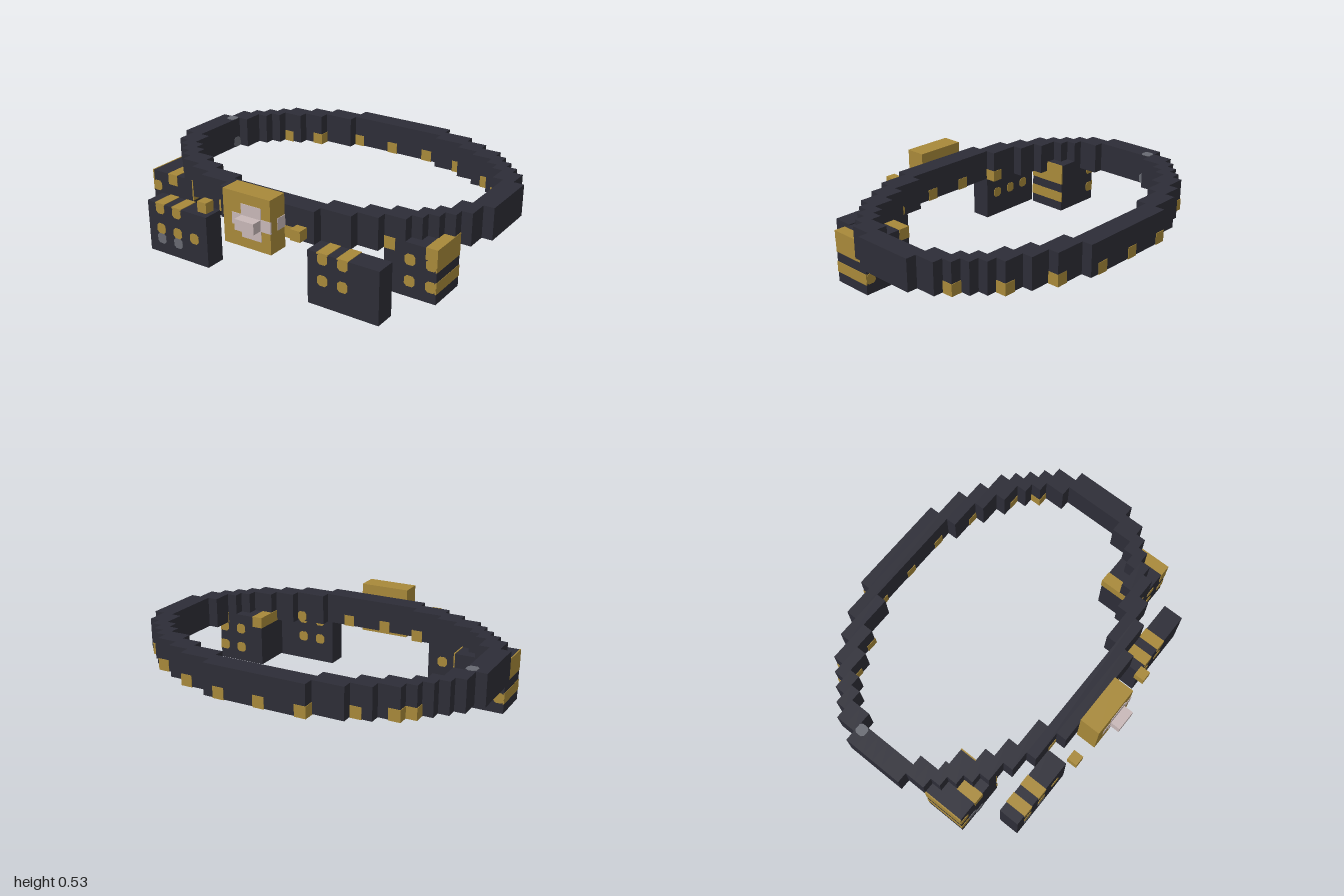
import * as THREE from 'three';

const V = 2 / 34; // one grid cell
const X = i => -1 + i * V;
const Y = j => j * V;
const Z = k => (k - 13.5) * V;

export function createModel() {
  const model = new THREE.Group();
  const mat = (name, color) => {
    const m = new THREE.MeshStandardMaterial({ color });
    m.name = name;
    return m;
  };
  const leather = mat('darkLeather', 0x2d2d37);
  const gold = mat('gold', 0xa8893a);
  const pale = mat('paleGem', 0xc8b8b8);
  const grey = mat('greyStud', 0x686a72);

  const group = (name, parent = model) => {
    const g = new THREE.Group();
    g.name = name;
    parent.add(g);
    return g;
  };

  // Box between grid cells, optionally swollen by e
  const box = (parent, name, m, i0, i1, j0, j1, k0, k1, e = 0) => {
    const g = new THREE.BoxGeometry((i1 - i0) * V + 2 * e, (j1 - j0) * V + 2 * e, (k1 - k0) * V + 2 * e);
    const mesh = new THREE.Mesh(g, m);
    mesh.position.set((X(i0) + X(i1)) / 2, (Y(j0) + Y(j1)) / 2, (Z(k0) + Z(k1)) / 2);
    mesh.name = name;
    parent.add(mesh);
    return mesh;
  };

  // Thin stud with clipped corners
  const h = V / 2, c = h * 0.55;
  const studShape = new THREE.Shape([
    [h, -c], [h, c], [c, h], [-c, h], [-h, c], [-h, -c], [-c, -h], [c, -h],
  ].map(p => new THREE.Vector2(...p)));
  const studGeo = new THREE.ExtrudeGeometry(studShape, { depth: 0.003, bevelEnabled: false });
  const stud = (parent, m, x, y, z, rx = 0, ry = 0) => {
    const mesh = new THREE.Mesh(studGeo, m);
    mesh.name = 'stud';
    mesh.position.set(x, y, z);
    mesh.rotation.set(rx, ry, 0);
    parent.add(mesh);
  };

  // Belt loop: stepped rows, mirrored front to back and side to side
  const belt = group('belt');
  const rows = [[12, 22], [9, 25], [7, 12], [5, 9], [4, 7], [3, 5], [2, 4], [1, 3], [1, 3], [0, 2], [0, 2], [0, 2]];
  rows.forEach(([a, b], k) => {
    for (const r of [k, 23 - k]) {
      box(belt, 'beltSegment', leather, a, b, 5, 8, r, r + 1);
      if (k > 1) box(belt, 'beltSegment', leather, 34 - b, 34 - a, 5, 8, r, r + 1);
    }
  });

  // Gold inlays along the lower edge of the belt: [i, k0, k1]
  const inlays = [
    [4, 4, 5], [5, 3, 5], [8, 2, 4], [12, 0, 2], [16, 0, 2], [20, 0, 2], [24, 1, 3], [28, 3, 5],
    [11, 21, 23], [15, 22, 24], [19, 22, 24],
  ];
  for (const [i, k0, k1] of inlays) box(belt, 'beltInlay', gold, i, i + 1, 5, 6, k0, k1, 0.003);
  box(belt, 'beltInlay', gold, 30, 32, 5, 6, 6, 7, 0.003);
  stud(belt, gold, X(24.5), Y(5.5), Z(21), 0, Math.PI);
  stud(belt, grey, X(1.5), Y(8), Z(9.5), -Math.PI / 2);
  stud(belt, grey, X(2), Y(5.5), Z(9.5), 0, Math.PI / 2);

  // Buckle with a pale cross and knob
  const buckle = group('buckle');
  box(buckle, 'bucklePlate', gold, 14, 19, 4, 9, 24, 26);
  box(buckle, 'crossUpright', pale, 16, 18, 5, 8, 25.95, 26, 0.003);
  box(buckle, 'crossBar', pale, 15, 19, 6, 7, 25.95, 26, 0.003);
  box(buckle, 'sideBand', pale, 18.95, 19, 6, 7, 24, 25, 0.003);
  box(buckle, 'buckleKnob', pale, 16, 18, 6, 7, 26, 27);
  for (const i of [11, 21]) box(model, 'beltRivet', gold, i, i + 1, 6, 7, 25, 26);

  // Pouch: body, gold top straps, studs on front and back
  const pouch = (name, i0, i1, j0, j1, k0, k1, studs, greys = []) => {
    const g = group(name);
    box(g, 'pouchBody', leather, i0, i1, j0, j1, k0, k1);
    for (const [i, j] of studs) {
      stud(g, gold, X(i + 0.5), Y(j + 0.5), Z(k1));
      stud(g, gold, X(i + 0.5), Y(j + 0.5), Z(k0), 0, Math.PI);
    }
    for (const [i, j] of greys) stud(g, grey, X(i + 0.5), Y(j + 0.5), Z(k1));
    return g;
  };

  const rightFront = pouch('rightFrontPouch', 4, 11, 0, 5, 23, 25,
    [[5, 4], [5, 2], [7, 4], [7, 2], [9, 2]], [[5, 1], [7, 1]]);
  const leftFront = pouch('leftFrontPouch', 22, 29, 0, 5, 23, 25,
    [[23, 4], [23, 2], [25, 4], [25, 2]]);
  for (const [g, list] of [[rightFront, [5, 7]], [leftFront, [23, 25]]]) {
    for (const i of list) box(g, 'topStrap', gold, i, i + 1, 4.95, 5, 23, 25, 0.003);
  }

  const rightSide = pouch('rightSidePouch', 1, 6, 1, 6, 17, 21, [[1, 4], [1, 2]], [[2, 2], [3, 1]]);
  const leftSide = pouch('leftSidePouch', 27, 32, 1, 6, 17, 21, [[29, 4], [29, 2], [31, 4], [31, 2]]);
  box(rightSide, 'topStrap', gold, 3, 4, 5, 6, 19, 21, 0.003);
  for (const i of [27, 31]) box(leftSide, 'topStrap', gold, i, i + 1, 5, 6, 17, 21, 0.003);

  // Gold stripes on the pouch sides
  for (const [g, i] of [[rightSide, 1], [rightSide, 5.95], [leftSide, 31.95]]) {
    for (const [j0, j1] of [[2, 3], [4, 6]]) {
      box(g, 'sideStripe', gold, i, i + 0.05, j0, j1, 17, 21, 0.002);
    }
  }
  return model;
}
